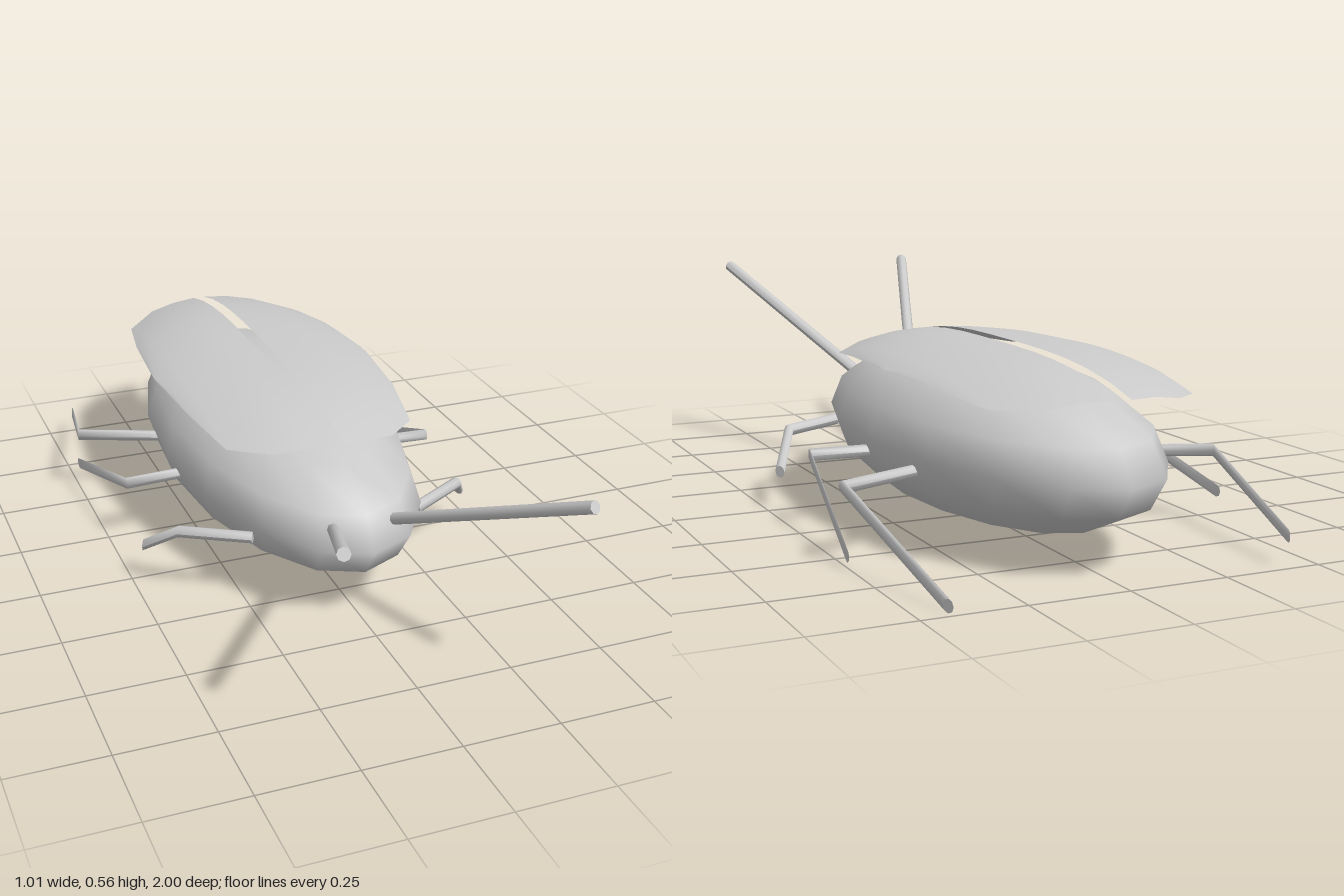
import * as THREE from 'three';

const grey = new THREE.MeshStandardMaterial({ color: 0xcccccc, side: THREE.DoubleSide });

function part(name, geometry) {
  const mesh = new THREE.Mesh(geometry, grey);
  mesh.name = name;
  return mesh;
}

// Jointed rod: every ring stays square to the first segment, so the bent end is flattened
function rod(points, radius) {
  const p = points.map(a => new THREE.Vector3(...a));
  const last = p.length - 1;
  const dir = p[1].clone().sub(p[0]).normalize();
  const u = new THREE.Vector3(0, 1, 0).addScaledVector(dir, -dir.y).normalize();
  const w = u.clone().cross(dir);
  const geo = new THREE.CylinderGeometry(radius, radius, last, 8, last);
  const pos = geo.attributes.position;
  for (let i = 0; i < pos.count; i++) {
    const v = p[Math.round(pos.getY(i) + last / 2)].clone()
      .addScaledVector(u, pos.getX(i)).addScaledVector(w, pos.getZ(i));
    pos.setXYZ(i, v.x, v.y, v.z);
  }
  geo.computeVertexNormals();
  return geo;
}

// Domed wing case: columns run outward in x, each with its own half length in z
function wingCase(side) {
  const columns = [[0.017, 0.6], [0.09, 0.582], [0.165, 0.562], [0.26, 0.465], [0.298, 0.26], [0.318, 0.02]];
  const rows = 12;
  const geo = new THREE.PlaneGeometry(1, 1, columns.length - 1, rows);
  const pos = geo.attributes.position;
  for (let i = 0; i < pos.count; i++) {
    const column = Math.round((side * pos.getX(i) + 0.5) * (columns.length - 1));
    const [x, half] = columns[column];
    const dz = -pos.getY(i) * 2 * half;
    const r = Math.hypot(x / 0.318, dz / 0.6);
    pos.setXYZ(i, side * x, 0.47 - 0.055 * r ** 3.2, -0.36 + dz);
  }
  geo.computeVertexNormals();
  return geo;
}

export function createModel() {
  const model = new THREE.Group();
  model.name = 'beetle';

  // Body
  const body = part('body', new THREE.SphereGeometry(1, 16, 8).scale(0.318, 0.21, 0.74));
  body.position.set(0, 0.225, -0.26);
  model.add(body);

  for (const s of [1, -1]) {
    const label = s > 0 ? 'left' : 'right';
    model.add(part(label + 'WingCase', wingCase(s)));
    model.add(part(label + 'Antenna', rod([[s * 0.083, 0.275, 0.41], [s * 0.295, 0.55, 0.993]], 0.016)));

    // Legs: hip, knee, foot; the feet on the right are held higher
    const lift = s > 0 ? 0 : 0.055;
    const legs = {
      FrontLeg: [[0.23, 0.185, 0.22], [0.4, 0.185, 0.12], [0.465, 0.1, 0.005]],
      MiddleLeg: [[0.23, 0.185, -0.215], [0.453, 0.185, -0.2], [0.5, 0.028 + lift, -0.58]],
      HindLeg: [[0.23, 0.185, -0.45], [0.5, 0.185, -0.56], [0.428, 0.016 + lift, -0.98]],
    };
    for (const [name, points] of Object.entries(legs)) {
      model.add(part(label + name, rod(points.map(([x, y, z]) => [s * x, y, z]), 0.016)));
    }
  }
  return model;
}
